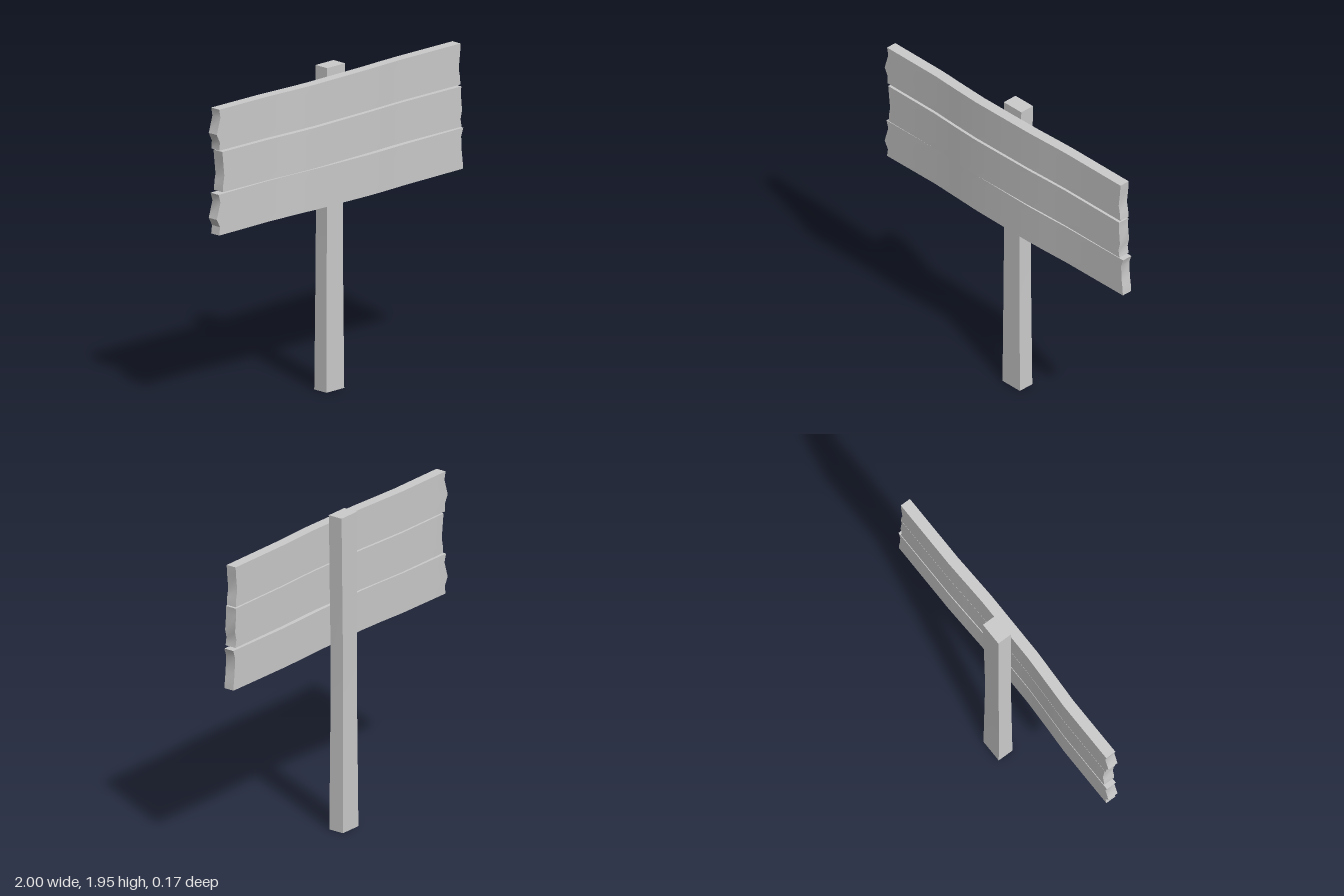
import * as THREE from 'three';
import { toCreasedNormals } from 'three/addons/utils/BufferGeometryUtils.js';

const material = new THREE.MeshStandardMaterial({ color: 0xcccccc });

// Moves every vertex of a segmented unit box by its grid indices: fn(i, j, k) -> [x, y, z]
function gridBox(name, nx, ny, fn) {
  const geo = new THREE.BoxGeometry(1, 1, 1, nx, ny, 1);
  const p = geo.attributes.position;
  for (let v = 0; v < p.count; v++) {
    const i = Math.round((p.getX(v) + 0.5) * nx);
    const j = Math.round((p.getY(v) + 0.5) * ny);
    p.setXYZ(v, ...fn(i, j, p.getZ(v) > 0 ? 1 : 0));
  }
  const mesh = new THREE.Mesh(toCreasedNormals(geo, 0.6), material);
  mesh.name = name;
  return mesh;
}

// Stations along a plank and how far its back bows forward there
const inner = [-0.58, -0.4, -0.22, 0, 0.22, 0.37, 0.52];
const bow = [-0.006, -0.006, 0.003, 0.011, 0.011, 0.011, 0.006, 0.001, 0.001];
const rows = [0, 0.2, 0.4, 0.8, 1]; // heights of the points on the ragged ends

// left and right: x of the ragged ends from bottom to top; sag: edge unevenness
const planks = [
  { name: 'bottomPlank', y: [1.142, 1.388], z: 0, depth: 0.066, sag: 0.003,
    left: [-0.98, -0.973, -1.0, -0.97, -0.985], right: [0.995, 0.992, 0.985, 0.98, 0.997] },
  { name: 'middlePlank', y: [1.4, 1.643], z: 0.001, depth: 0.073, sag: -0.003,
    left: [-0.958, -0.955, -0.946, -0.957, -0.962], right: [0.975, 0.967, 0.979, 0.97, 0.973] },
  { name: 'topPlank', y: [1.652, 1.899], z: 0, depth: 0.066, sag: -0.002,
    left: [-0.977, -0.975, -1.0, -0.97, -0.98], right: [0.974, 0.97, 0.96, 0.972, 0.975] },
];

function makePlank({ name, y, z, depth, sag, left, right }) {
  return gridBox(name, 8, 4, (i, j, k) => [
    i === 0 ? left[j] : i === 8 ? right[j] : inner[i - 1],
    THREE.MathUtils.lerp(y[0], y[1], rows[j]) + sag * Math.sin((i / 8) * Math.PI * 2),
    z + bow[i] + k * depth,
  ]);
}

// Slightly uneven post, as [y, left x, right x, back z, front z]
const post = [
  [0, -0.064, 0.081, -0.085, 0.015],
  [0.75, -0.058, 0.075, -0.08, 0.011],
  [1.15, -0.055, 0.075, -0.08, 0.011],
  [1.95, -0.056, 0.09, -0.082, 0.012],
];

export function createModel() {
  const group = new THREE.Group();
  group.name = 'woodenSign';
  group.add(gridBox('post', 1, 3, (i, j, k) => [post[j][1 + i], post[j][0], post[j][3 + k]]));
  planks.forEach((plank) => group.add(makePlank(plank)));
  return group;
}
